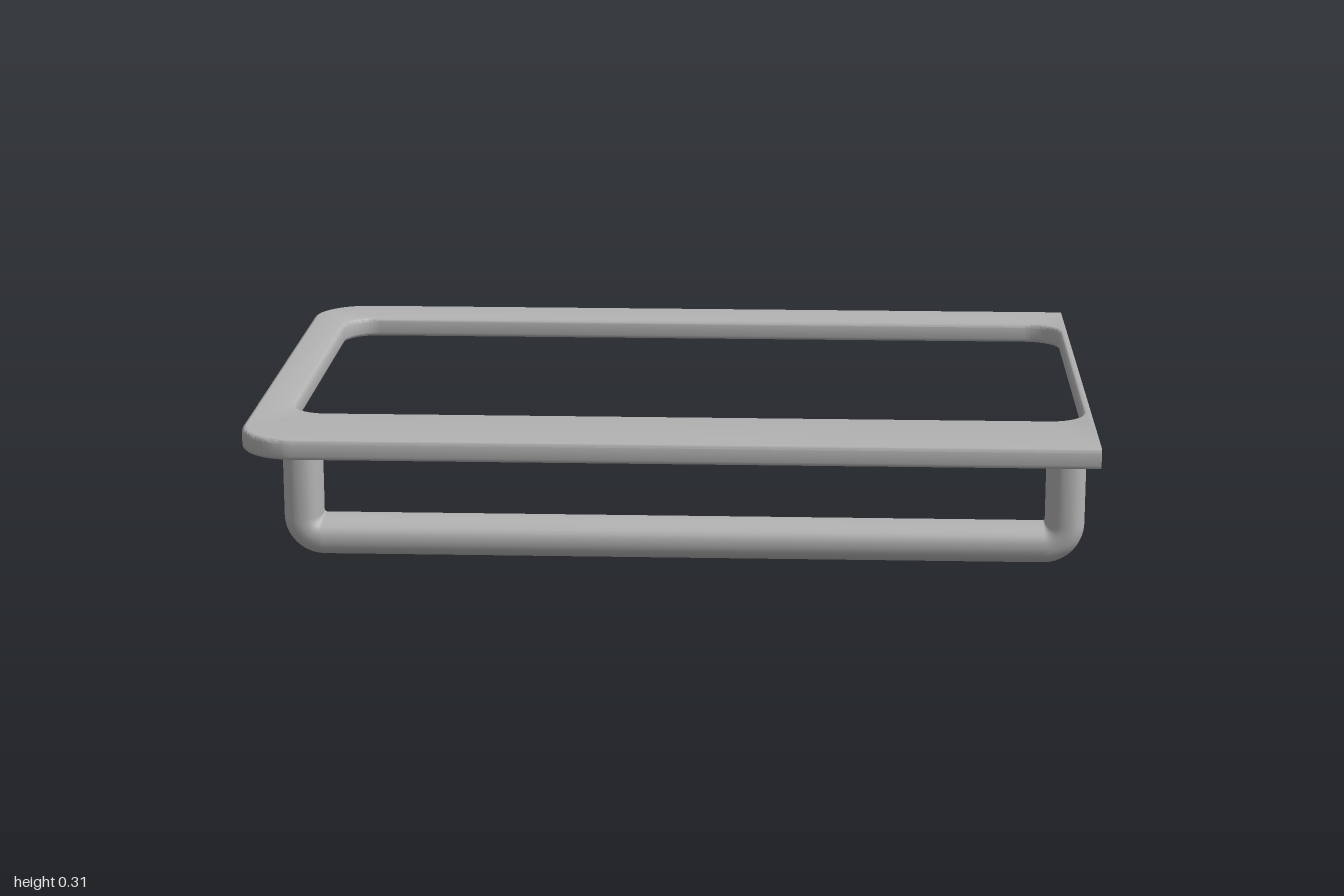
import * as THREE from 'three';
import { toCreasedNormals } from 'three/addons/utils/BufferGeometryUtils.js';

// Rectangle with a rounded left side and, optionally, a rounded right side
function roundedRect(target, x0, y0, x1, y1, rLeft, rRight) {
  target.moveTo(x0 + rLeft, y0);
  target.lineTo(x1 - rRight, y0);
  if (rRight) target.absarc(x1 - rRight, y0 + rRight, rRight, -Math.PI / 2, 0, false);
  target.lineTo(x1, y1 - rRight);
  if (rRight) target.absarc(x1 - rRight, y1 - rRight, rRight, 0, Math.PI / 2, false);
  target.lineTo(x0 + rLeft, y1);
  target.absarc(x0 + rLeft, y1 - rLeft, rLeft, Math.PI / 2, Math.PI, false);
  target.lineTo(x0, y0 + rLeft);
  target.absarc(x0 + rLeft, y0 + rLeft, rLeft, Math.PI, Math.PI * 1.5, false);
  return target;
}

// Flat frame: soft edges all round except for the square-cut right end
function frameGeometry() {
  const bevel = 0.01, bottom = 0.26, top = 0.31;
  const shape = roundedRect(new THREE.Shape(), -1, -0.705, 1 + bevel, 0.705, 0.135, 0);
  shape.holes.push(roundedRect(new THREE.Path(), -0.905, -0.45, 0.98, 0.55, 0.085, 0.085));
  const geometry = new THREE.ExtrudeGeometry(shape, {
    depth: top - bottom - 2 * bevel, curveSegments: 12,
    bevelEnabled: true, bevelThickness: bevel, bevelSize: bevel, bevelOffset: -bevel, bevelSegments: 3,
  });
  const p = geometry.attributes.position;
  for (let i = 0; i < p.count; i++) p.setX(i, Math.min(p.getX(i), 1));
  geometry.rotateX(-Math.PI / 2);
  geometry.translate(0, bottom + bevel, 0);
  return toCreasedNormals(geometry, 0.6);
}

// U-shaped handle: an oval section swept down, along and up again
function handleGeometry() {
  const left = -0.86, right = 0.93, barY = 0.047, topY = 0.27, z = 0.565;
  const bend = 0.05, halfThick = 0.046, halfWide = 0.065, sides = 32, steps = 10;
  const path = [[left, topY, Math.PI]];
  for (const [cx, start] of [[left + bend, Math.PI], [right - bend, Math.PI * 1.5]]) {
    for (let i = 0; i <= steps; i++) {
      const a = start + (i / steps) * Math.PI / 2;
      path.push([cx + bend * Math.cos(a), barY + bend + bend * Math.sin(a), a]);
    }
  }
  path.push([right, topY, Math.PI * 2]);

  const round = (v) => Math.sign(v) * Math.abs(v) ** 0.85;
  const positions = [], index = [];
  path.forEach(([x, y, a], i) => {
    for (let j = 0; j < sides; j++) {
      const s = (j / sides) * Math.PI * 2;
      const n = halfThick * round(Math.cos(s));
      positions.push(x - n * Math.cos(a), y - n * Math.sin(a), z + halfWide * round(Math.sin(s)));
      if (i < path.length - 1) {
        const p = i * sides + j, q = i * sides + (j + 1) % sides;
        index.push(p, q, p + sides, q, q + sides, p + sides);
      }
    }
  });
  const geometry = new THREE.BufferGeometry();
  geometry.setAttribute('position', new THREE.Float32BufferAttribute(positions, 3));
  geometry.setIndex(index);
  geometry.computeVertexNormals();
  return geometry;
}

export function createModel() {
  const grey = new THREE.MeshStandardMaterial({ color: 0xb3b3b3 });
  grey.name = 'grey';
  const model = new THREE.Group();
  model.name = 'frameWithHandle';
  for (const [name, geometry] of [['frame', frameGeometry()], ['handle', handleGeometry()]]) {
    const mesh = new THREE.Mesh(geometry, grey);
    mesh.name = name;
    model.add(mesh);
  }
  return model;
}
